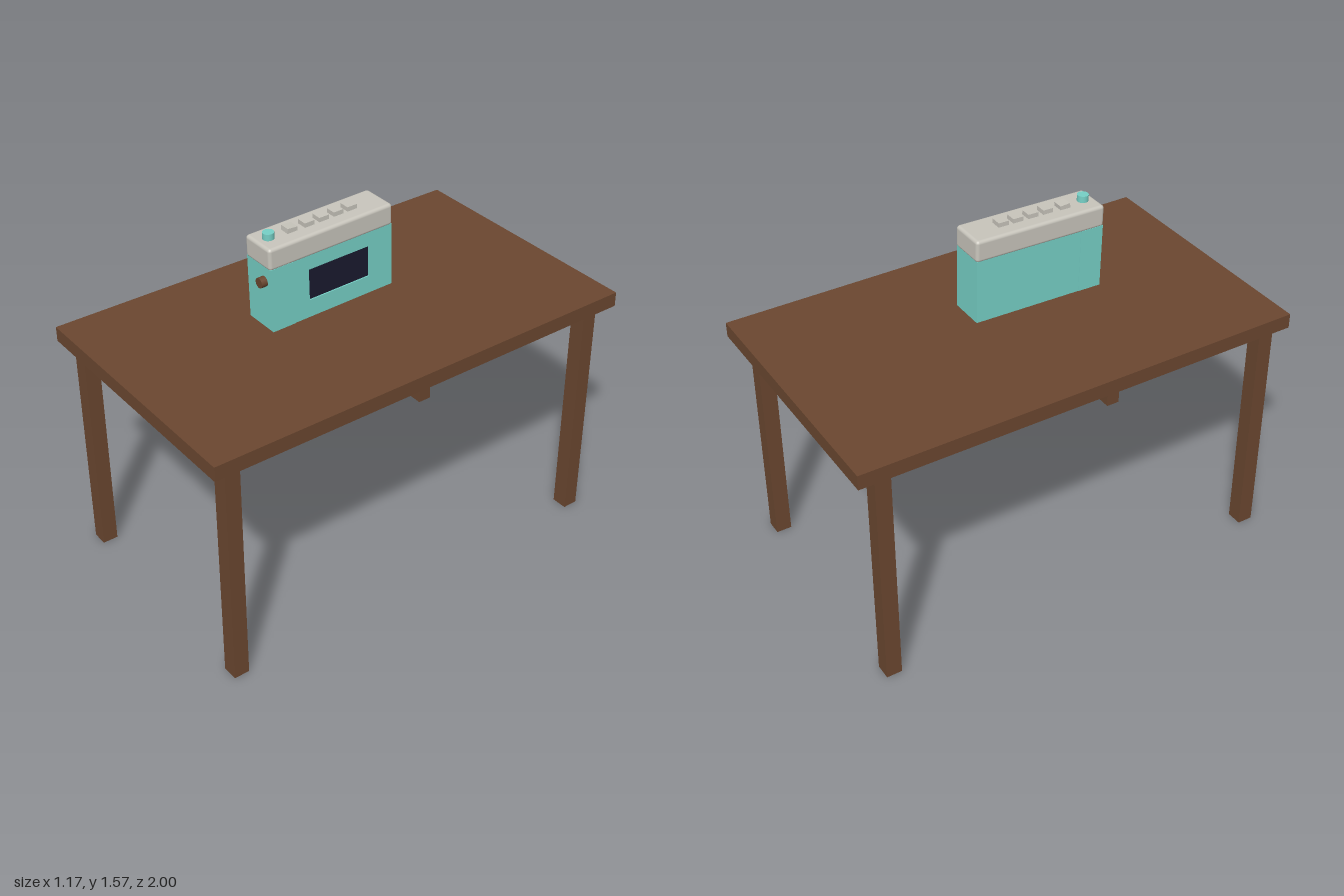
import * as THREE from 'three';
import { RoundedBoxGeometry } from 'three/addons/geometries/RoundedBoxGeometry.js';

const mat = (color) => new THREE.MeshStandardMaterial({ color });
const wood = mat(0x6b4730);
const teal = mat(0x76d0c6);
const ivory = mat(0xc8c5bc);
const navy = mat(0x1a1a2e);

function add(parent, name, geometry, material, x, y, z) {
  const mesh = new THREE.Mesh(geometry, material);
  mesh.name = name;
  mesh.position.set(x, y, z);
  parent.add(mesh);
  return mesh;
}

function createTable() {
  const table = new THREE.Group();
  table.name = 'table';
  add(table, 'tableTop', new THREE.BoxGeometry(1.166, 0.065, 2), wood, 0, 1.0605, 0);
  for (const x of [-0.518, 0.518]) {
    for (const z of [-0.885, 0.907]) {
      add(table, 'tableLeg', new THREE.BoxGeometry(0.07, 1.03, 0.068), wood, x, 0.515, z);
    }
  }
  return table;
}

// Rectangular outline drawn counter-clockwise
function rect(path, x0, y0, x1, y1) {
  path.moveTo(x0, y0);
  path.lineTo(x1, y0);
  path.lineTo(x1, y1);
  path.lineTo(x0, y1);
  path.closePath();
  return path;
}

function createPlayer() {
  const player = new THREE.Group();
  player.name = 'player';

  // Main body: a core plus a side panel with a window opening
  add(player, 'bodyCore', new THREE.BoxGeometry(0.146, 0.28, 0.485), teal, -0.005, 0.14, -0.0525);
  const panel = rect(new THREE.Shape(), -0.19, 0, 0.295, 0.28);
  panel.holes.push(rect(new THREE.Path(), -0.115, 0.078, 0.18, 0.217));
  const panelGeometry = new THREE.ExtrudeGeometry(panel, { depth: 0.01, bevelEnabled: false });
  panelGeometry.rotateY(Math.PI / 2);
  add(player, 'windowPanel', panelGeometry, teal, 0.068, 0, 0);
  add(player, 'window', new THREE.BoxGeometry(0.004, 0.139, 0.295), navy, 0.07, 0.1475, -0.0325);

  // Front section, a touch wider so that its seam shows
  add(player, 'frontSection', new THREE.BoxGeometry(0.16, 0.28, 0.105), teal, 0, 0.14, 0.2425);

  // Rounded cover
  add(player, 'cover', new RoundedBoxGeometry(0.163, 0.095, 0.598, 3, 0.014), ivory, 0, 0.3225, 0);

  // Row of keys, the front one slightly raised at an angle
  [-0.142, -0.075, -0.005, 0.065, 0.145].forEach((z, i) => {
    const key = add(player, 'key', new THREE.BoxGeometry(0.046, 0.03, 0.046), ivory, 0, 0.374, z);
    if (i === 4) {
      key.position.x = -0.003;
      key.rotation.x = -0.08;
    }
  });

  // Round button on top and jack plug at the front
  add(player, 'roundButton', new THREE.CylinderGeometry(0.024, 0.024, 0.04, 24), teal, 0, 0.378, 0.245);
  const plug = add(player, 'plug', new THREE.CylinderGeometry(0.022, 0.022, 0.03, 24), wood, 0.035, 0.214, 0.307);
  plug.rotation.x = Math.PI / 2;

  player.position.set(0, 1.178, 0.095);
  player.rotation.x = 0.022;
  return player;
}

export function createModel() {
  const model = new THREE.Group();
  model.name = 'tableWithPlayer';
  model.add(createTable(), createPlayer());
  return model;
}
